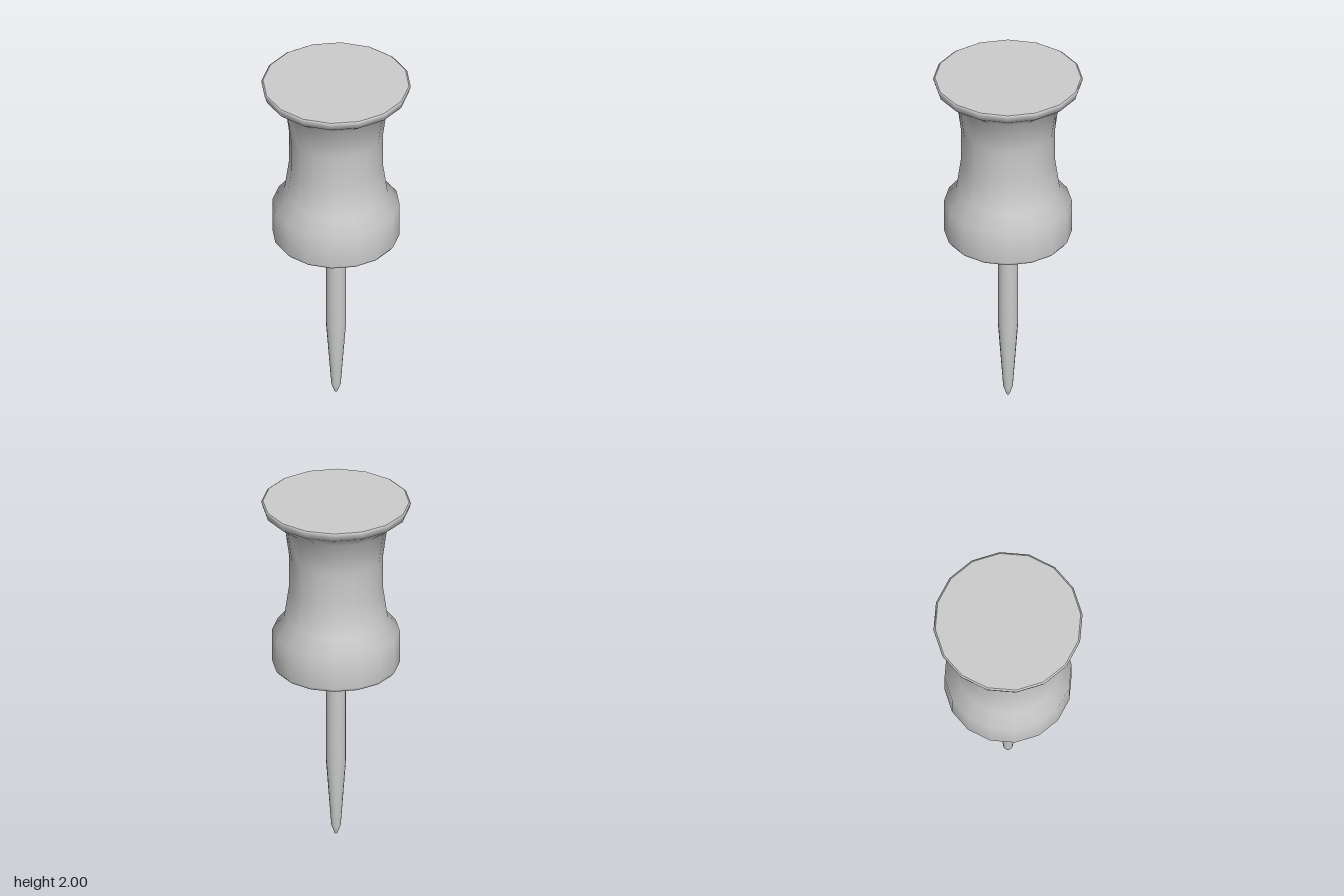
import * as THREE from 'three';

const material = new THREE.MeshStandardMaterial({ color: 0xcccccc });

// Smooth surface of revolution from [radius, y] points, listed bottom to top
function turned(name, profile, sides) {
  const points = profile.map(([r, y]) => new THREE.Vector2(r, y));
  const mesh = new THREE.Mesh(new THREE.LatheGeometry(points, sides), material);
  mesh.name = name;
  return mesh;
}

// Flat disc facing up (1) or down (-1)
function cap(name, radius, y, facing, sides) {
  const geometry = new THREE.CircleGeometry(radius, sides);
  geometry.rotateX(-facing * Math.PI / 2);
  const mesh = new THREE.Mesh(geometry, material);
  mesh.position.y = y;
  mesh.name = name;
  return mesh;
}

export function createModel() {
  const model = new THREE.Group();
  model.name = 'pushPin';

  // Handle: bevelled collar, waisted grip and flared head
  const handle = new THREE.Group();
  handle.name = 'handle';
  handle.add(
    turned('grip', [
      [0.33, 1.015], [0.345, 1.035], [0.345, 1.225], [0.28, 1.305],
      [0.255, 1.48], [0.255, 1.68], [0.28, 1.87],
      [0.393, 1.955], [0.405, 1.993], [0.395, 2],
    ], 16),
    cap('headTop', 0.395, 2, 1, 16),
    cap('collarBase', 0.33, 1.015, -1, 16),
  );

  // Needle: straight shaft, long taper and blunt tip
  const needle = new THREE.Group();
  needle.name = 'needle';
  needle.add(
    turned('shaft', [[0.008, 0], [0.026, 0.05], [0.055, 0.45], [0.055, 1.02]], 16),
    cap('tip', 0.008, 0, -1, 16),
  );

  model.add(handle, needle);
  return model;
}
